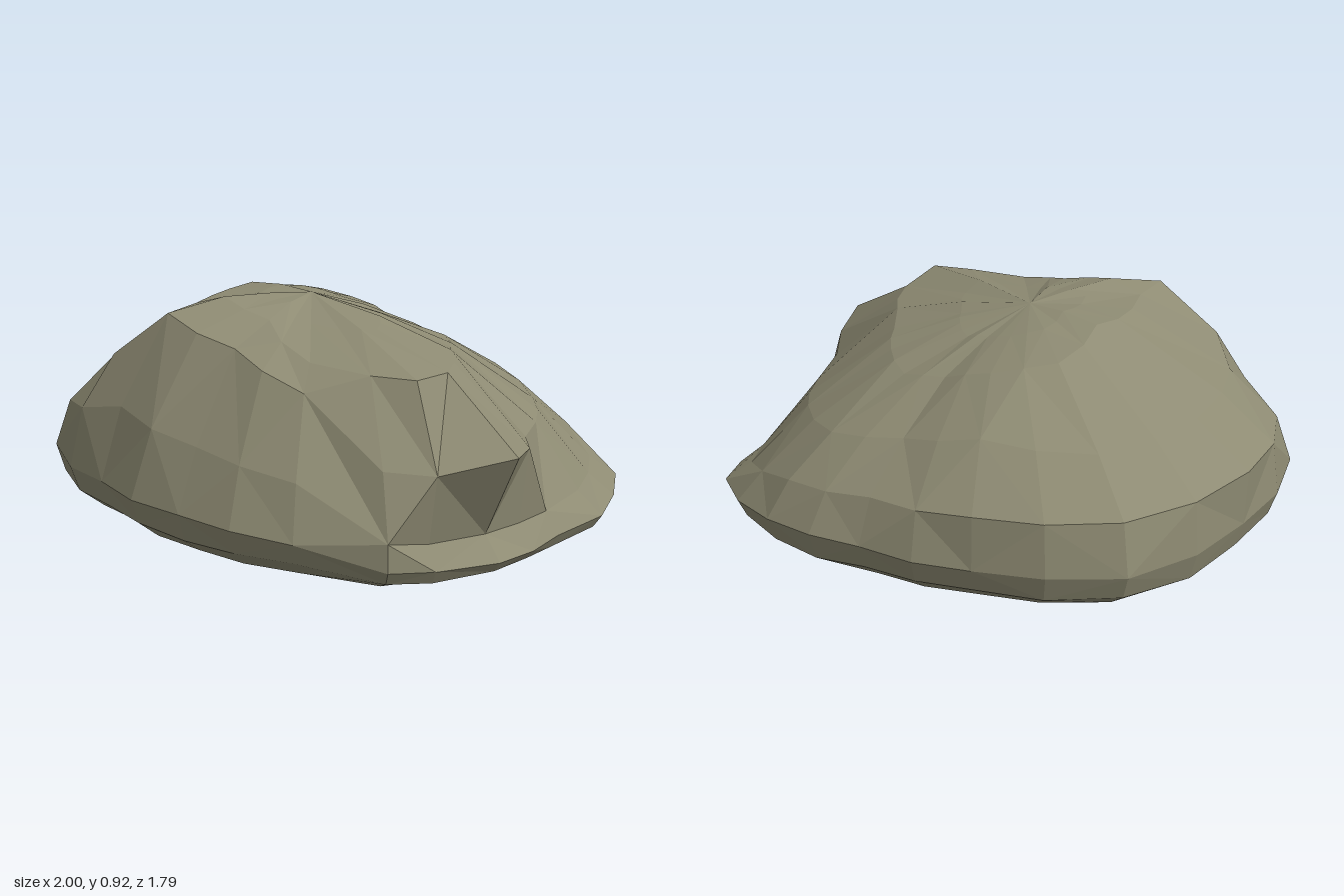
import * as THREE from 'three';

// Vertical profiles around the rock: [angle in degrees from +x towards +z,
// then radius, height pairs for rim, lower wall, shoulder and crown edge].
// From 323 to 44 degrees the wall steps in above a low ledge.
const PROFILES = [
  [0, 0.95, 0.17, 0.90, 0.25, 0.81, 0.50, 0.50, 0.76],
  [20, 0.98, 0.17, 0.90, 0.25, 1.06, 0.55, 0.68, 0.75],
  [34, 0.97, 0.18, 0.91, 0.25, 0.97, 0.50, 0.79, 0.77],
  [44, 1.00, 0.20, 1.00, 0.30, 0.91, 0.51, 0.70, 0.77],
  [62, 0.94, 0.28, 0.87, 0.46, 0.70, 0.71, 0.57, 0.79],
  [90, 0.88, 0.30, 0.78, 0.51, 0.57, 0.81, 0.38, 0.87],
  [121, 0.89, 0.30, 0.81, 0.56, 0.63, 0.88, 0.42, 0.92],
  [133, 0.97, 0.30, 0.92, 0.52, 0.80, 0.71, 0.50, 0.89],
  [149, 1.05, 0.30, 0.99, 0.47, 0.81, 0.66, 0.45, 0.88],
  [180, 0.99, 0.30, 1.00, 0.50, 0.79, 0.64, 0.38, 0.89],
  [213, 1.03, 0.30, 0.99, 0.48, 0.79, 0.64, 0.46, 0.84],
  [243, 0.89, 0.29, 0.87, 0.48, 0.67, 0.66, 0.42, 0.80],
  [270, 0.88, 0.29, 0.81, 0.45, 0.62, 0.60, 0.38, 0.74],
  [295, 0.97, 0.28, 0.88, 0.41, 0.71, 0.55, 0.42, 0.71],
  [323, 1.05, 0.21, 0.95, 0.28, 0.73, 0.50, 0.42, 0.72],
  [344, 1.01, 0.17, 0.92, 0.26, 0.76, 0.49, 0.44, 0.74],
];

// Repeatable small offsets for the chipped surface
function seeded(seed) {
  return () => {
    seed = (seed * 16807) % 2147483647;
    return seed / 2147483647 - 0.5;
  };
}

function rockGeometry() {
  const rand = seeded(41);
  const bottom = new THREE.Vector3(0, 0, -0.2);
  const top = new THREE.Vector3(-0.08, 0.9, 0.03);

  // Add a profile halfway across each wide gap
  const profiles = [];
  PROFILES.forEach((p, i) => {
    const q = PROFILES[(i + 1) % PROFILES.length].slice();
    if (q[0] < p[0]) q[0] += 360;
    profiles.push(p);
    if (q[0] - p[0] > 18) profiles.push(p.map((v, k) => (v + q[k]) / 2));
  });

  // Turn every profile into a column of points, bottom to top
  const grid = profiles.map(([angle, ...pairs]) => {
    const a = THREE.MathUtils.degToRad(angle);
    const at = (r, y) => new THREE.Vector3(r * Math.cos(a), y, r * Math.sin(a));
    const [rimR, rimY] = pairs;

    // Rounded underside, derived from the rim
    const base = at(rimR * 0.88, 0.04 + rimY * 0.35);
    const under = base.clone().lerp(bottom, 0.45).setY(0.045 + rand() * 0.01);
    const turn = at(rimR * 0.97, 0.03 + rimY * 0.58 + rand() * 0.02);
    const column = [under, base, turn];

    // Walls and crown
    for (let k = 0; k < pairs.length; k += 2) {
      column.push(at(pairs[k], pairs[k + 1] + rand() * 0.01));
    }
    const crown = column[column.length - 1].clone().lerp(top, 0.5);
    crown.y += 0.01 + rand() * 0.012;
    return [...column, crown];
  });

  // Skin the columns, alternating the diagonals
  const points = [];
  const face = (...v) => points.push(...v);
  grid.forEach((a, i) => {
    const b = grid[(i + 1) % grid.length];
    face(bottom, a[0], b[0]);
    for (let k = 0; k < a.length - 1; k++) {
      if ((i + k) % 2) {
        face(a[k], a[k + 1], b[k]);
        face(b[k], a[k + 1], b[k + 1]);
      } else {
        face(a[k], a[k + 1], b[k + 1]);
        face(a[k], b[k + 1], b[k]);
      }
    }
    face(a[a.length - 1], top, b[b.length - 1]);
  });
  const geometry = new THREE.BufferGeometry().setFromPoints(points);
  geometry.computeVertexNormals();
  return geometry;
}

export function createModel() {
  const stone = new THREE.MeshStandardMaterial({ color: 0x8e8b73, flatShading: true });
  stone.name = 'mossy grey stone';
  const rock = new THREE.Mesh(rockGeometry(), stone);
  rock.name = 'rock';
  const group = new THREE.Group();
  group.name = 'boulder';
  group.add(rock);
  return group;
}
